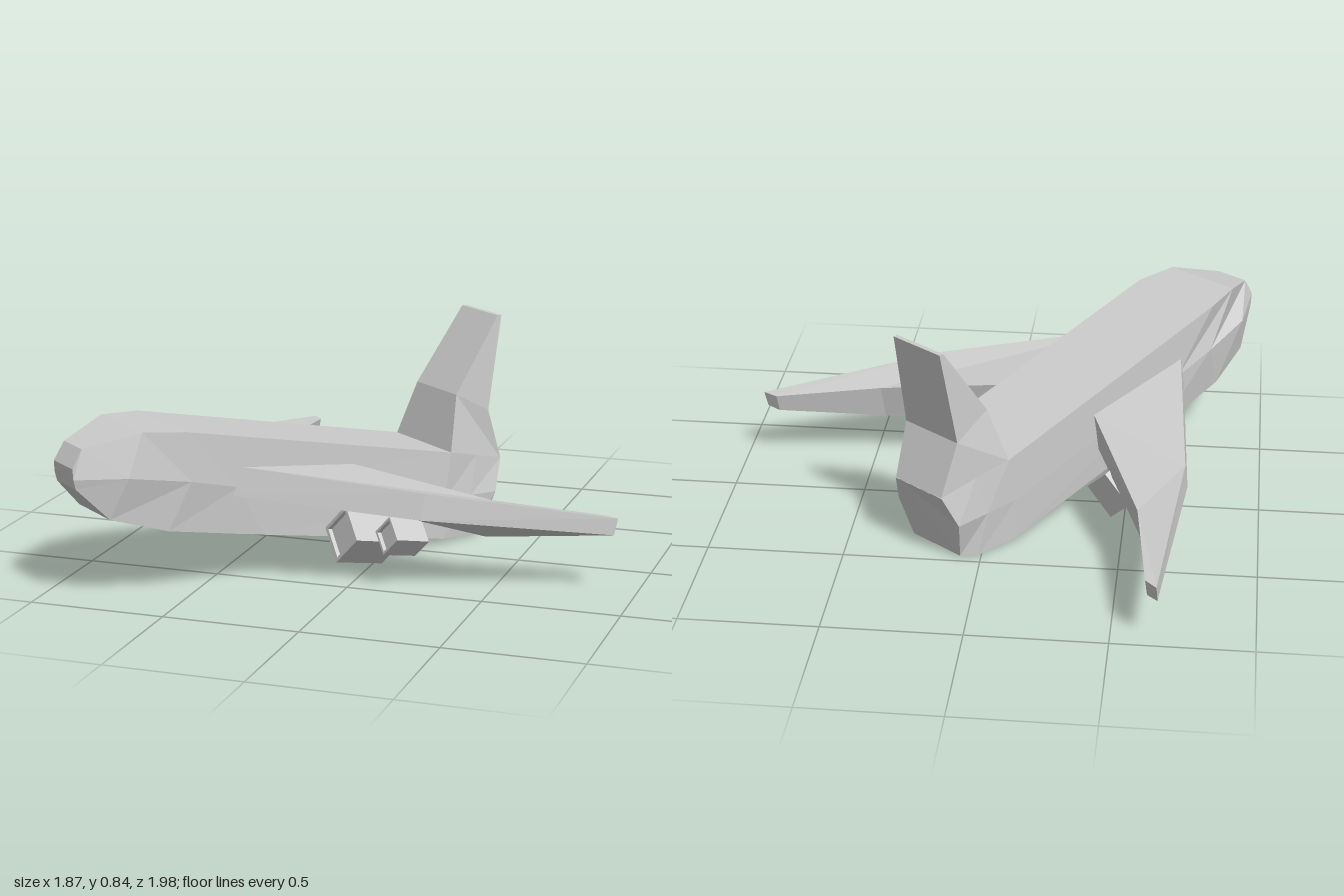
import * as THREE from 'three';

const material = new THREE.MeshStandardMaterial({ color: 0xcccccc, flatShading: true, side: THREE.DoubleSide });

// Skin a list of equal-length closed rings and cap both ends
function loft(rings) {
  const out = [];
  const tri = (a, b, c) => out.push(...a, ...b, ...c);
  const n = rings[0].length;
  for (let r = 0; r < rings.length - 1; r++) {
    for (let i = 0; i < n; i++) {
      const j = (i + 1) % n;
      const [a, b, c, d] = [rings[r][i], rings[r][j], rings[r + 1][j], rings[r + 1][i]];
      tri(a, d, c);
      tri(a, c, b);
    }
  }
  const first = rings[0], last = rings[rings.length - 1];
  for (let i = 1; i < n - 1; i++) {
    tri(first[0], first[i], first[i + 1]);
    tri(last[0], last[i + 1], last[i]);
  }
  const g = new THREE.BufferGeometry();
  g.setAttribute('position', new THREE.Float32BufferAttribute(out, 3));
  g.computeVertexNormals();
  return g;
}

function add(parent, geometry, name) {
  const mesh = new THREE.Mesh(geometry, material);
  mesh.name = name;
  parent.add(mesh);
  return mesh;
}

// Fuselage stations, nose to tail: top, middle and bottom as [forward, height, half width]
const stations = [
  [[1.29, 0.5, 0.072], [1.288, 0.46, 0.073], [1.28, 0.425, 0.072]],
  [[1.25, 0.565, 0.068], [1.12, 0.46, 0.163], [1.175, 0.31, 0.118]],
  [[1.06, 0.615, 0.155], [0.89, 0.42, 0.193], [0.97, 0.246, 0.165]],
  [[0.9, 0.6, 0.186], [0.7, 0.37, 0.19], [0.6, 0.175, 0.185]],
  [[-0.23, 0.355, 0.183], [-0.2, 0.18, 0.188], [-0.195, 0.022, 0.187]],
  [[-0.37, 0.318, 0.15], [-0.33, 0.17, 0.172], [-0.36, 0.003, 0.155]],
  [[-0.51, 0.28, 0.117], [-0.46, 0.16, 0.155], [-0.42, 0.01, 0.12]],
];

function fuselage() {
  return loft(stations.map(([t, m, b]) => {
    const p = ([z, y, w], s) => [w * s, y, z];
    return [p(t, 1), p(t, -1), p(m, -1), p(b, -1), p(b, 1), p(m, 1)];
  }));
}

// Broad tail fin, top to base: front and rear as [forward, height, half width]
function fin() {
  const levels = [
    [[-0.49, 0.84, 0.115], [-0.508, 0.84, 0.115]],
    [[-0.29, 0.56, 0.13], [-0.44, 0.48, 0.13]],
    [[-0.23, 0.352, 0.182], [-0.51, 0.278, 0.116]],
  ];
  return loft(levels.map(([f, r]) => [
    [f[2], f[1], f[0]], [r[2], r[1], r[0]], [-r[2], r[1], r[0]], [-f[2], f[1], f[0]],
  ]));
}

// Swept wing, tip to root: leading top, leading bottom, trailing bottom, trailing top
function wing(side) {
  const sections = [
    [[1.005, 0.25, -0.375], [1.0, 0.19, -0.36], [0.945, 0.185, -0.35], [0.945, 0.25, -0.365]],
    [[0.64, 0.355, 0.2], [0.64, 0.26, 0.22], [0.66, 0.16, -0.05], [0.66, 0.29, -0.08]],
    [[0.165, 0.445, 0.73], [0.165, 0.34, 0.755], [0.165, 0.23, 0.26], [0.165, 0.38, 0.23]],
  ];
  return loft(sections.map((ring) => {
    const pts = ring.map(([x, y, z]) => [x * side, y, z]);
    return side > 0 ? pts : pts.reverse();
  }));
}

// Four-sided engine pod with a shallow recessed intake, front at the origin
function engine(radius, length) {
  const profile = [
    [0, -length], [radius * 0.97, -length], [radius, 0],
    [radius * 0.82, 0], [radius * 0.8, -0.015], [0, -0.015],
  ].map(([x, y]) => new THREE.Vector2(x, y));
  return new THREE.LatheGeometry(profile, 4).rotateX(Math.PI / 2).rotateX(-0.21);
}

export function createModel() {
  const model = new THREE.Group();
  model.name = 'airplane';

  // Local frame: +z toward the nose, then the whole craft is turned
  const craft = new THREE.Group();
  craft.name = 'craft';
  craft.rotation.y = -0.663;
  craft.position.set(-0.09, 0, -0.07);
  model.add(craft);

  add(craft, fuselage(), 'fuselage');
  add(craft, fin(), 'tailFin');

  // Wings and engines share a slight bank
  const wings = new THREE.Group();
  wings.name = 'wingAssembly';
  wings.rotation.z = 0.025;
  craft.add(wings);

  for (const side of [1, -1]) {
    const label = side > 0 ? 'left' : 'right';
    add(wings, wing(side), label + 'Wing');
    add(wings, engine(0.105, 0.2), label + 'InnerEngine').position.set(0.32 * side, 0.16, 0.35);
    add(wings, engine(0.07, 0.14), label + 'OuterEngine').position.set(0.51 * side, 0.185, 0.28);
  }
  return model;
}
